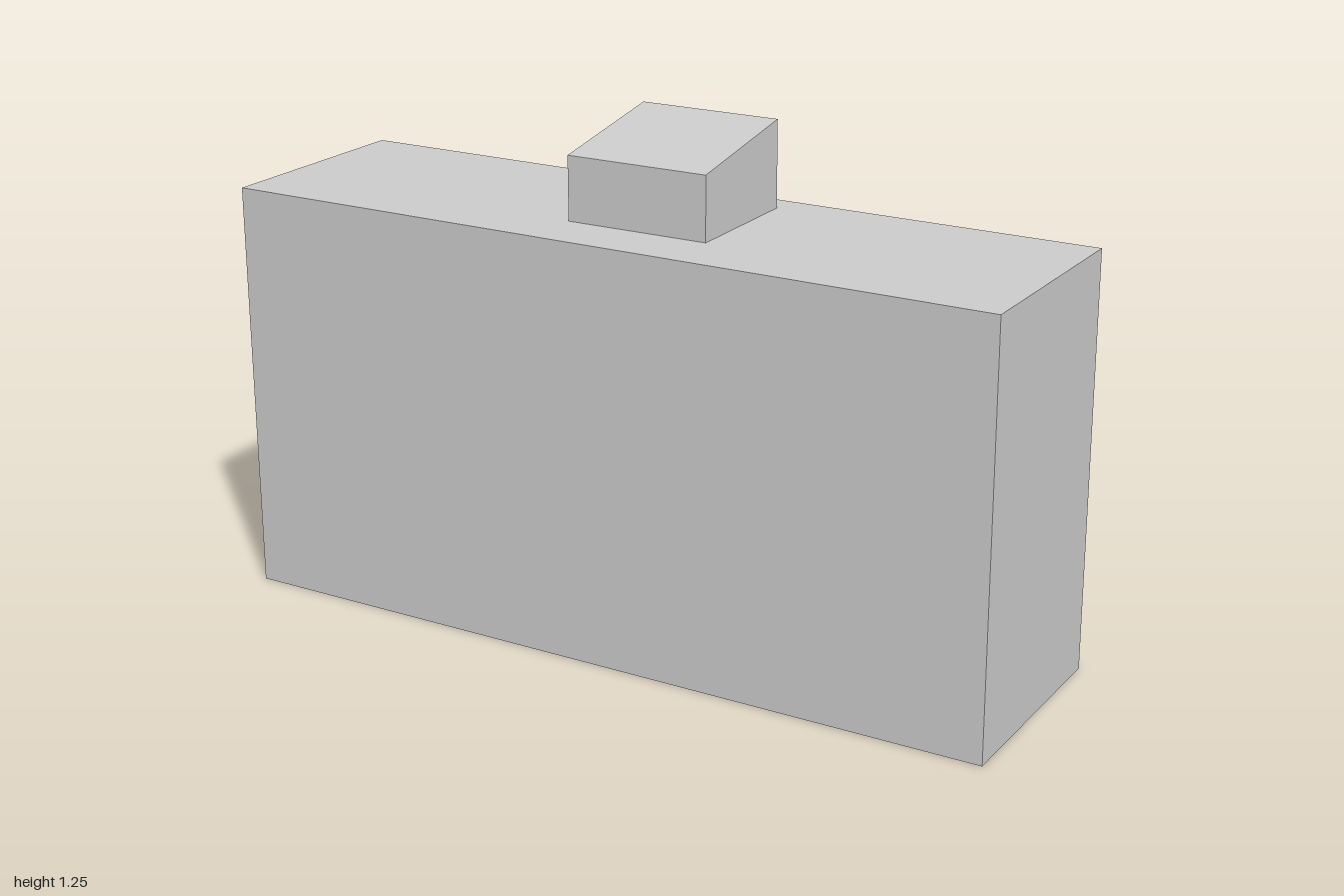
import * as THREE from 'three';

const material = new THREE.MeshStandardMaterial({ color: 0xcccccc, flatShading: true });

function addPart(group, name, geometry, x, y, z) {
  const mesh = new THREE.Mesh(geometry, material);
  mesh.name = name;
  mesh.position.set(x, y, z);
  group.add(mesh);
  return mesh;
}

export function createModel() {
  const group = new THREE.Group();
  group.name = 'camera';

  // Main box body
  addPart(group, 'body', new THREE.BoxGeometry(2, 1.035, 0.56), 0, 0.5175, 0.2);

  // Eight-sided lens barrel, slightly wider than tall, projecting to the back
  const octagon = [
    [0.39, 0], [0.3, 0.245], [0, 0.335], [-0.3, 0.245],
    [-0.39, 0], [-0.3, -0.245], [0, -0.335], [0.3, -0.245],
  ].map(([x, y]) => new THREE.Vector2(x, y));
  const lens = new THREE.ExtrudeGeometry(new THREE.Shape(octagon), { depth: 0.4, bevelEnabled: false });
  addPart(group, 'lens', lens, 0.025, 0.455, -0.48);

  // Viewfinder block whose top slopes down towards the front
  const finder = new THREE.BoxGeometry(0.365, 0.215, 0.34);
  finder.translate(0, 0.1075, 0);
  const p = finder.attributes.position;
  for (let i = 0; i < p.count; i++) {
    if (p.getY(i) > 0.1 && p.getZ(i) > 0) p.setY(i, 0.157);
  }
  finder.computeVertexNormals();
  addPart(group, 'viewfinder', finder, 0.031, 1.035, 0.16).rotation.y = 0.008;

  return group;
}
